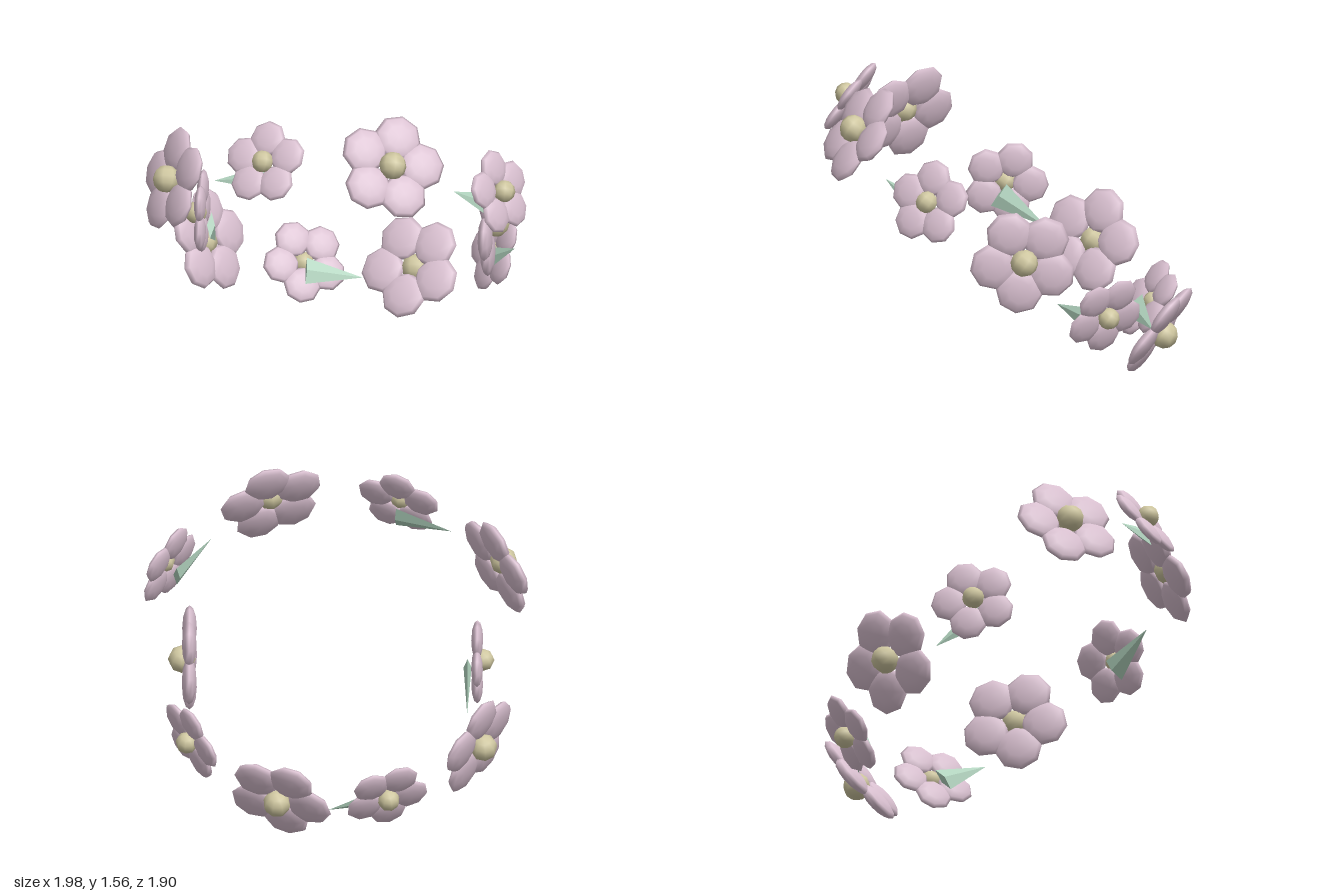
import * as THREE from 'three';

export function createModel() {
  const petalPink = new THREE.MeshStandardMaterial({ color: 0xd9c0d0 });
  const centreYellow = new THREE.MeshStandardMaterial({ color: 0xcfc7a0 });
  const leafGreen = new THREE.MeshStandardMaterial({ color: 0xb2d4bf });
  petalPink.name = 'petalPink';
  centreYellow.name = 'centreYellow';
  leafGreen.name = 'leafGreen';

  const ball = new THREE.SphereGeometry(1, 8, 6);
  // Petal: flattened ball whose thin axis is the flower's facing direction
  const petalGeo = new THREE.SphereGeometry(1, 8, 6);
  petalGeo.rotateX(Math.PI / 2);
  petalGeo.scale(0.43, 0.44, 0.135);
  petalGeo.translate(0.57, 0, 0);
  // Leaf: flattened four-sided cone pointing along -x
  const leafGeo = new THREE.ConeGeometry(0.07, 0.3, 4).toNonIndexed();
  leafGeo.computeVertexNormals();
  leafGeo.rotateZ(Math.PI / 2);
  leafGeo.scale(1, 1, 0.3);
  leafGeo.translate(-0.15, 0, 0);

  // Flower facing +z with five petals, a round centre and an optional leaf
  function makeFlower(radius, roll, hasLeaf) {
    const flower = new THREE.Group();
    for (let i = 0; i < 5; i++) {
      const petal = new THREE.Mesh(petalGeo, petalPink);
      petal.name = 'petal';
      petal.scale.setScalar(radius);
      petal.rotation.z = THREE.MathUtils.degToRad(roll + i * 72);
      flower.add(petal);
    }
    const centre = new THREE.Mesh(ball, centreYellow);
    centre.name = 'flowerCentre';
    centre.scale.setScalar(radius * 0.255);
    centre.position.z = radius * 0.14;
    flower.add(centre);
    if (hasLeaf) {
      const leaf = new THREE.Mesh(leafGeo, leafGreen);
      leaf.name = 'leaf';
      leaf.position.set(0, -0.065, -0.05);
      flower.add(leaf);
    }
    return flower;
  }

  // Crown ring: [x, z, facing angle, petal roll], large and small alternating
  const ring = [
    [0.335, 0.955, 18, 9],
    [0.865, 0.55, 54, -26],
    [0.755, -0.06, 90, 9],
    [0.74, -0.58, 126, 18],
    [0.285, -0.95, 162, -5],
    [-0.27, -0.935, 198, -15],
    [-0.735, -0.6, 234, 5],
    [-0.73, -0.06, 270, 5],
    [-0.83, 0.555, 306, 9],
    [-0.32, 0.955, 342, 14],
  ];
  const crown = new THREE.Group();
  crown.name = 'flowerCrown';
  ring.forEach(([x, z, facing, roll], i) => {
    const small = i % 2 === 1;
    const flower = makeFlower(small ? 0.225 : 0.282, roll, small);
    flower.name = small ? 'smallFlower' : 'largeFlower';
    flower.position.set(x, 0, z);
    flower.rotation.y = THREE.MathUtils.degToRad(facing);
    crown.add(flower);
  });
  // Front of the ring is lifted
  crown.rotation.x = THREE.MathUtils.degToRad(-35.5);
  crown.position.y = 0.785;

  const model = new THREE.Group();
  model.add(crown);
  return model;
}
